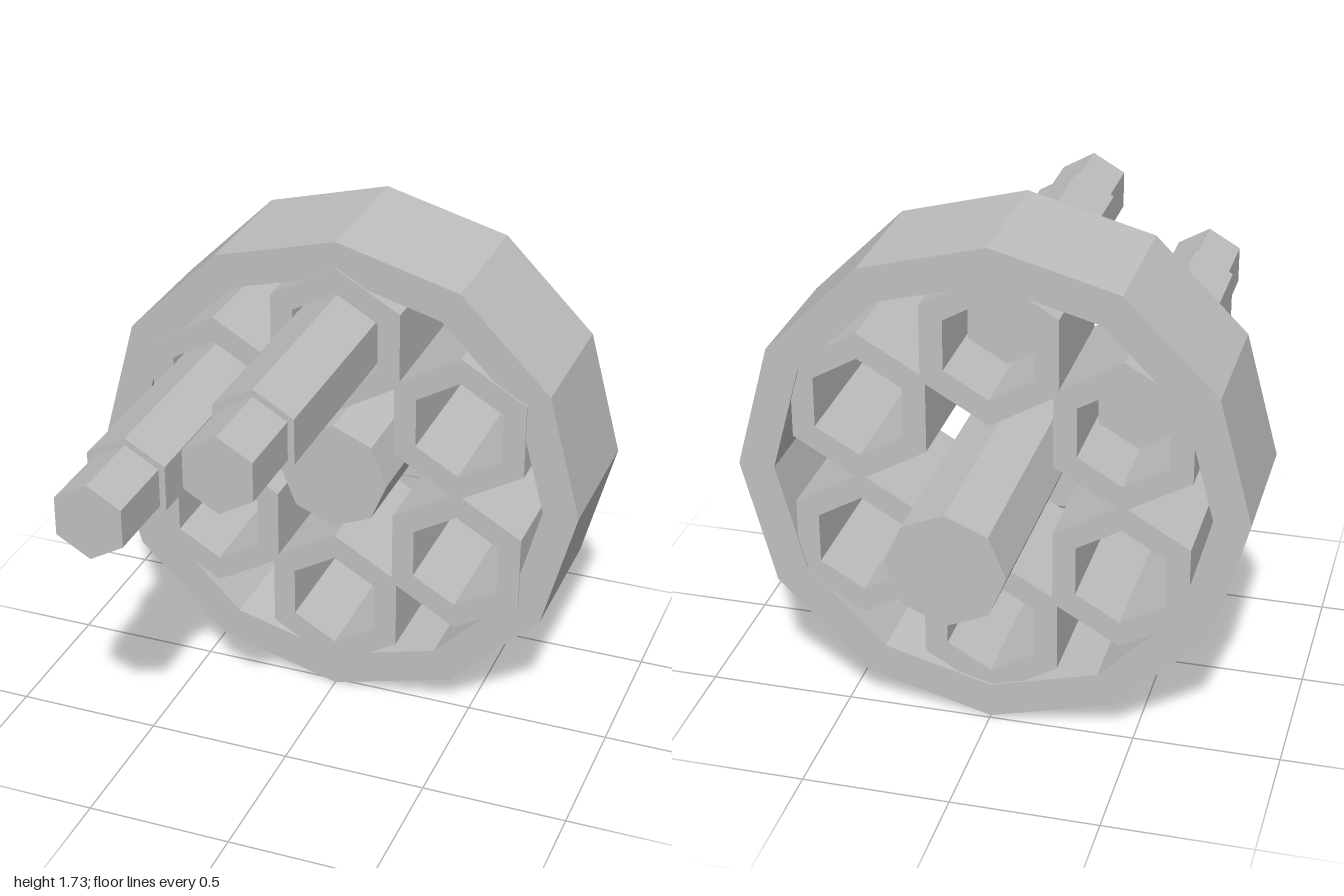
import * as THREE from 'three';

const CENTER_Y = 0.865;

// Regular polygon with one corner pointing straight up
function polygon(Type, sides, radius) {
  const points = [];
  for (let i = 0; i < sides; i++) {
    const a = Math.PI / 2 + (i / sides) * Math.PI * 2;
    points.push(new THREE.Vector2(Math.cos(a) * radius, Math.sin(a) * radius));
  }
  return new Type(points);
}

// Prism along z, optionally hollow
function prism(name, material, sides, radius, zBack, zFront, holeRadius = 0) {
  const shape = polygon(THREE.Shape, sides, radius);
  if (holeRadius) shape.holes.push(polygon(THREE.Path, sides, holeRadius));
  const geometry = new THREE.ExtrudeGeometry(shape, { depth: zFront - zBack, bevelEnabled: false });
  geometry.translate(0, 0, zBack);
  const mesh = new THREE.Mesh(geometry, material);
  mesh.name = name;
  return mesh;
}

export function createModel() {
  const metal = new THREE.MeshStandardMaterial({ color: 0xc0c0c0, flatShading: true });
  metal.name = 'light grey metal';

  const model = new THREE.Group();
  model.name = 'barrelCluster';

  // Twelve-sided outer drum and eight-sided central shaft
  const drum = prism('outerDrum', metal, 12, 0.864, -0.487, 0.02, 0.74);
  const shaft = prism('centralShaft', metal, 8, 0.195, -1, 0.04);
  drum.position.y = shaft.position.y = CENTER_Y;
  model.add(drum, shaft);

  // Six hexagonal chambers; the top one and its neighbour hold stepped rods
  for (let i = 0; i < 6; i++) {
    const a = Math.PI / 2 + (i * Math.PI) / 3;
    const chamber = new THREE.Group();
    chamber.name = `chamber${i + 1}`;
    chamber.position.set(Math.cos(a) * 0.51, CENTER_Y + Math.sin(a) * 0.51, 0);
    chamber.add(prism('chamberTube', metal, 6, 0.265, -0.48, 0.026, 0.175));
    if (i < 2) {
      chamber.add(prism('rodBody', metal, 6, 0.157, -0.24, 0.725));
      chamber.add(prism('rodTip', metal, 6, 0.132, 0.725, 1));
    }
    model.add(chamber);
  }
  return model;
}
